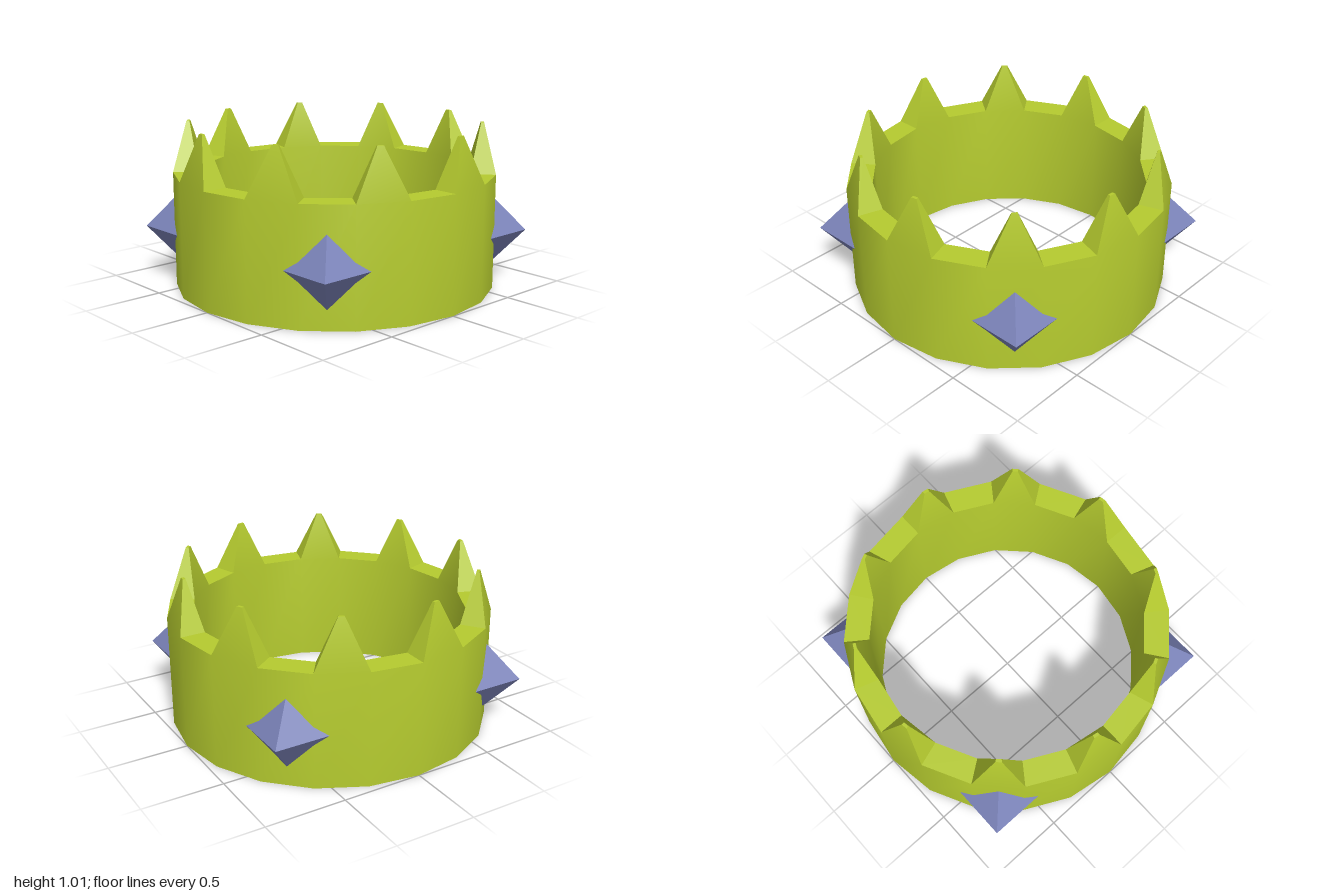
import * as THREE from 'three';
import { toCreasedNormals } from 'three/addons/utils/BufferGeometryUtils.js';

const SIDES = 20, OUTER = 1, INNER = 0.845, WALL = 0.715, TIP = 1.015;

const ringPoint = (r, k, y) => {
  const a = (k / SIDES) * Math.PI * 2;
  return new THREE.Vector3(r * Math.sin(a), y, r * Math.cos(a));
};

// Collects quads (corners counter-clockwise) and smooths the shallow edges
function quadGeometry(quads) {
  const pos = [];
  for (const [a, b, c, d] of quads) {
    for (const v of [a, b, c, a, c, d]) pos.push(v.x, v.y, v.z);
  }
  const geo = new THREE.BufferGeometry();
  geo.setAttribute('position', new THREE.Float32BufferAttribute(pos, 3));
  return toCreasedNormals(geo, Math.PI / 6);
}

function bandGeometry() {
  const quads = [];
  for (let k = 0; k < SIDES; k++) {
    const n = (k + 1) % SIDES;
    const corners = (y) => [
      ringPoint(OUTER, k, y), ringPoint(OUTER, n, y),
      ringPoint(INNER, n, y), ringPoint(INNER, k, y),
    ];
    const low = corners(0), rim = corners(WALL);

    // Outer wall, inner wall, underside
    quads.push([low[0], low[1], rim[1], rim[0]]);
    quads.push([low[2], low[3], rim[3], rim[2]]);
    quads.push([low[3], low[2], low[1], low[0]]);

    if (k % 2 === 0) {
      // Flat rim between spikes
      quads.push(rim);
    } else {
      // Spike: the rim quad raised and shrunk to a blunt tip
      const centre = rim.reduce((s, v) => s.add(v), new THREE.Vector3()).multiplyScalar(0.25);
      const tip = rim.map((v) => v.clone().lerp(centre, 0.88).setY(TIP));
      for (let i = 0; i < 4; i++) {
        const j = (i + 1) % 4;
        quads.push([rim[i], rim[j], tip[j], tip[i]]);
      }
      quads.push(tip);
    }
  }
  return quadGeometry(quads);
}

export function createModel() {
  const crown = new THREE.Group();
  crown.name = 'crown';

  const band = new THREE.Mesh(
    bandGeometry(),
    new THREE.MeshStandardMaterial({ color: 0xb5cb2f })
  );
  band.name = 'spikedBand';
  crown.add(band);

  // Four pyramid gems, bases sunk into the band, points outward
  const gemGeo = new THREE.ConeGeometry(0.262, 0.262, 4).rotateX(Math.PI / 2).translate(0, 0.335, 1.07);
  const gemMat = new THREE.MeshStandardMaterial({ color: 0x7c84ba, flatShading: true });
  for (let i = 0; i < 4; i++) {
    const gem = new THREE.Mesh(gemGeo, gemMat);
    gem.name = `gem${i + 1}`;
    gem.rotation.y = Math.PI / 4 + (i * Math.PI) / 2;
    crown.add(gem);
  }
  return crown;
}
